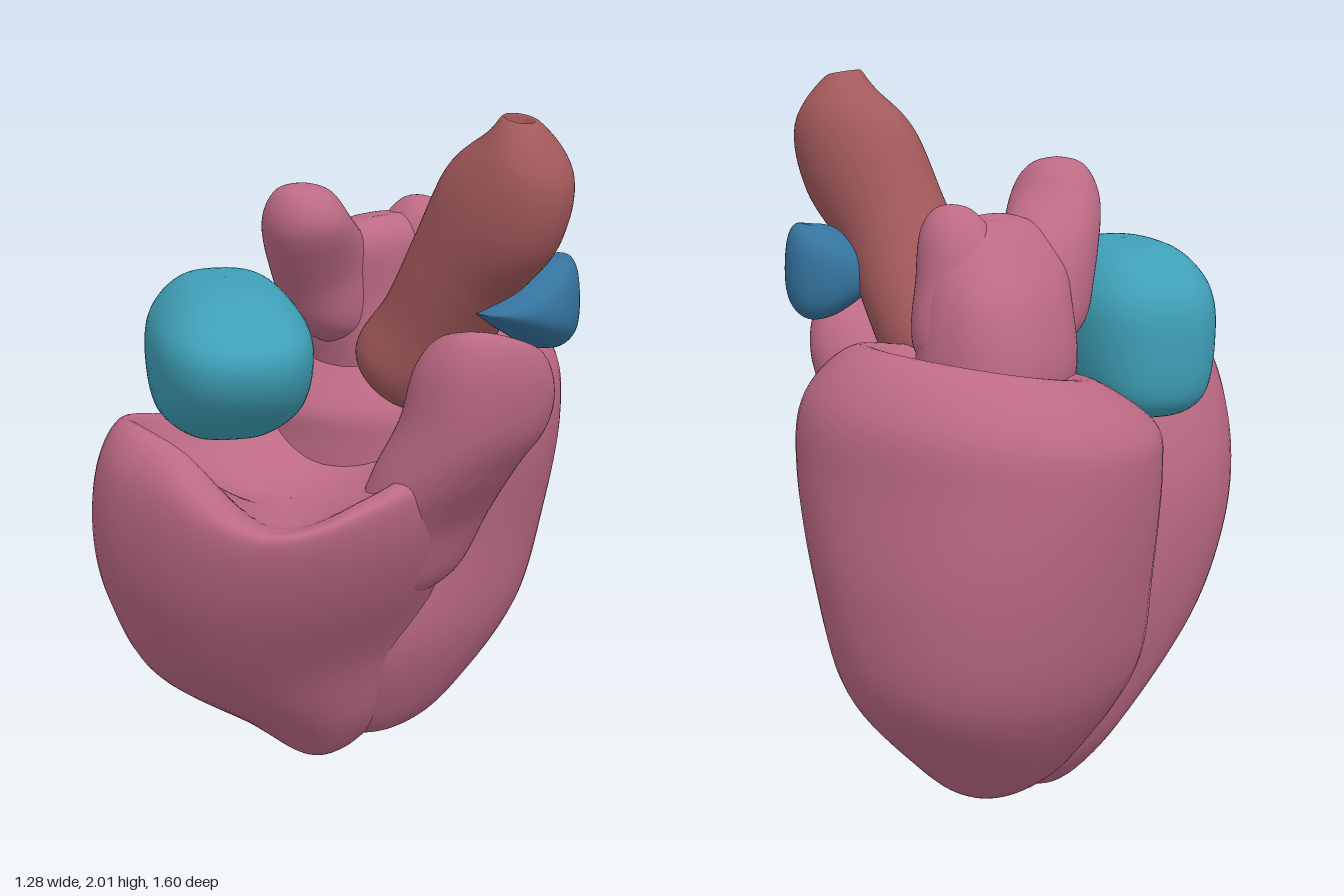
import * as THREE from 'three';

const PINK = 0xbd6a85, CYAN = 0x3fa0b8, BLUE = 0x35749f, RED = 0xa3595b;

// Catmull-Rom blend of four values
const cr = (a, b, c, d, t) => b + 0.5 * t * (c - a + t * (2 * a - 5 * b + 4 * c - d + t * (3 * (b - c) + d - a)));

// Smooth lookup in a list of rows, clamped at both ends
function sampleRows(rows, s) {
  const i = Math.min(Math.floor(s), rows.length - 2), t = s - i;
  const row = k => rows[THREE.MathUtils.clamp(k, 0, rows.length - 1)];
  return Array.from({ length: 8 }, (_, c) =>
    cr(row(i - 1)[c] ?? 0, row(i)[c] ?? 0, row(i + 1)[c] ?? 0, row(i + 2)[c] ?? 0, t));
}

// Smooth lookup around a closed list of values
function sampleLoop(values, u) {
  const n = values.length, s = u * n, i = Math.floor(s);
  const v = k => values[(i + k + n) % n];
  return cr(v(-1), v(0), v(1), v(2), s - i);
}

// Organic loft, bottom to top. Row: centre x, y, z, radius x, z, slope along x, z, rim weight
function loft(name, color, rows, { power = 2, rim = [0], skew = 0, sides = 56, steps = 8 } = {}) {
  const pos = [], index = [], rings = (rows.length - 1) * steps;
  const bend = v => Math.sign(v) * Math.abs(v) ** (2 / power);
  for (let j = 0; j <= rings; j++) {
    const [cx, cy, cz, rx, rz, sx, sz, w] = sampleRows(rows, j / steps);
    for (let i = 0; i < sides; i++) {
      const a = i / sides * Math.PI * 2;
      const dx = Math.max(rx, 0.001) * bend(Math.cos(a));
      const dz = Math.max(rz, 0.001) * bend(Math.sin(a)) + skew * dx;
      pos.push(cx + dx, cy + sx * dx + sz * dz + w * sampleLoop(rim, i / sides), cz + dz);
      if (j < rings) {
        const p = j * sides + i, q = j * sides + (i + 1) % sides;
        index.push(p, p + sides, q, q, p + sides, q + sides);
      }
    }
  }
  const geo = new THREE.BufferGeometry();
  geo.setAttribute('position', new THREE.Float32BufferAttribute(pos, 3));
  geo.setIndex(index);
  geo.computeVertexNormals();
  const mesh = new THREE.Mesh(geo, new THREE.MeshStandardMaterial({ color }));
  mesh.name = name;
  return mesh;
}

export function createModel() {
  const heart = new THREE.Group();
  heart.name = 'heart';

  // Back chamber: tall pouch with a broad rim and a shallow hollow on top
  heart.add(loft('backVentricle', PINK, [
    [-.15, .03, -.24, 0, 0],
    [-.15, .04, -.24, .09, .13],
    [-.16, .15, -.26, .2, .25],
    [-.18, .4, -.3, .34, .43],
    [-.19, .7, -.35, .41, .45],
    [-.18, 1, -.36, .46, .44],
    [-.18, 1.16, -.36, .435, .42, .04, -.1],
    [-.18, 1.28, -.37, .3, .28, .05, -.2],
    [-.17, 1.24, -.36, .19, .16, .05, -.1],
    [-.16, 1.15, -.35, .09, .08],
    [-.15, 1.12, -.35, 0, 0],
  ], { power: 2.2, skew: -.1 }));

  // Front chamber: rim rises into a front lobe and dips at the front corner.
  // Rim heights run from +x through +z, -x and -z
  heart.add(loft('frontVentricle', PINK, [
    [-.17, 0, -.04, 0, 0],
    [-.17, .01, -.04, .06, .09],
    [-.17, .15, -.02, .16, .24],
    [-.15, .4, .11, .25, .44],
    [-.09, .65, .21, .345, .49],
    [-.04, .84, .24, .385, .53, 0, 0, .2],
    [.005, .98, .26, .37, .52, 0, 0, .6],
    [.005, 1, .26, .32, .44, 0, 0, 1],
    [0, .96, .25, .245, .33, 0, 0, .55],
    [0, .93, .25, .12, .15, 0, 0, .1],
    [0, .92, .25, 0, 0],
  ], { power: 2.5, skew: -.13, rim: [.01, -.03, .19, .19, .12, .1, .1, .12] }));

  // Outflow neck leaning up from the front chamber
  heart.add(loft('outflowNeck', PINK, [
    [.12, .55, -.05, 0, 0],
    [.15, .65, -.05, .1, .18],
    [.21, .84, -.06, .135, .23],
    [.3, 1.01, -.06, .165, .225],
    [.38, 1.15, -.08, .17, .22, 0, .1],
    [.42, 1.29, -.08, .16, .205, .1, .3],
    [.44, 1.38, -.08, .115, .15, .25, .4],
    [.45, 1.39, -.08, .04, .05, .25, .4],
    [.45, 1.39, -.08, 0, 0],
  ], { power: 2.3 }));

  // Outflow valve: egg resting on the neck's sloping top
  heart.add(loft('outflowValve', BLUE, [
    [.42, 1.33, -.28, 0, 0, 0, .2],
    [.42, 1.35, -.28, .06, .08, 0, .3],
    [.42, 1.42, -.24, .125, .165, 0, .2],
    [.42, 1.5, -.24, .125, .165, .1, -.15],
    [.44, 1.57, -.28, .065, .08, .1, -.25],
    [.45, 1.585, -.29, 0, 0],
  ]));

  // Front atrium: plump slanting cushion
  const atrium = loft('frontAtrium', CYAN, [
    [0, -.2, 0, 0, 0, .2],
    [-.02, -.2, 0, .16, .1, .22],
    [-.01, -.12, 0, .32, .19, .2],
    [.01, .02, 0, .37, .22, .1],
    [.01, .14, 0, .345, .205, .03],
    [-.01, .23, 0, .2, .12],
    [-.01, .25, 0, 0, 0],
  ], { power: 2.6 });
  atrium.position.set(-.17, 1.28, .325);
  atrium.rotation.y = -.58;
  heart.add(atrium);

  // Back atrium: a broad base with a tall front horn and a short back horn
  const backAtrium = new THREE.Group();
  backAtrium.name = 'backAtrium';
  backAtrium.add(
    loft('atriumBase', PINK, [
      [-.17, 1.05, -.28, 0, 0],
      [-.17, 1.1, -.28, .15, .18],
      [-.175, 1.25, -.28, .195, .22],
      [-.165, 1.42, -.26, .17, .215],
      [-.14, 1.55, -.22, .14, .19, .2, .02],
      [-.12, 1.63, -.21, .07, .11, .15, .02],
      [-.12, 1.635, -.21, 0, 0],
    ], { power: 2.4 }),
    loft('frontHorn', PINK, [
      [-.18, 1.25, -.12, 0, 0],
      [-.18, 1.33, -.1, .11, .13],
      [-.16, 1.5, -.03, .125, .14, 0, -.4],
      [-.1, 1.66, .09, .13, .115, 0, -.2],
      [-.09, 1.75, .11, .08, .075],
      [-.09, 1.775, .11, 0, 0],
    ]),
    loft('backHorn', PINK, [
      [-.12, 1.2, -.32, 0, 0],
      [-.12, 1.3, -.33, .14, .15],
      [-.09, 1.5, -.32, .125, .12],
      [-.07, 1.61, -.32, .1, .09],
      [-.06, 1.67, -.32, .055, .045],
      [-.06, 1.685, -.32, 0, 0],
    ]));
  heart.add(backAtrium);

  // Great artery: leaning tube with a small opening at its tip
  heart.add(loft('artery', RED, [
    [.09, 1.14, -.15, 0, 0, -.4],
    [.09, 1.175, -.15, .11, .13, -.4],
    [.1, 1.265, -.15, .155, .19, -.4],
    [.19, 1.4, -.15, .14, .175, -.5],
    [.3, 1.57, -.13, .14, .155, -.6],
    [.43, 1.75, -.125, .16, .15, -.65],
    [.515, 1.89, -.125, .12, .12, -.5],
    [.5, 1.99, -.11, .05, .05, -.2],
    [.49, 1.965, -.11, .03, .03, -.2],
    [.48, 1.92, -.11, 0, 0],
  ]));

  return heart;
}
